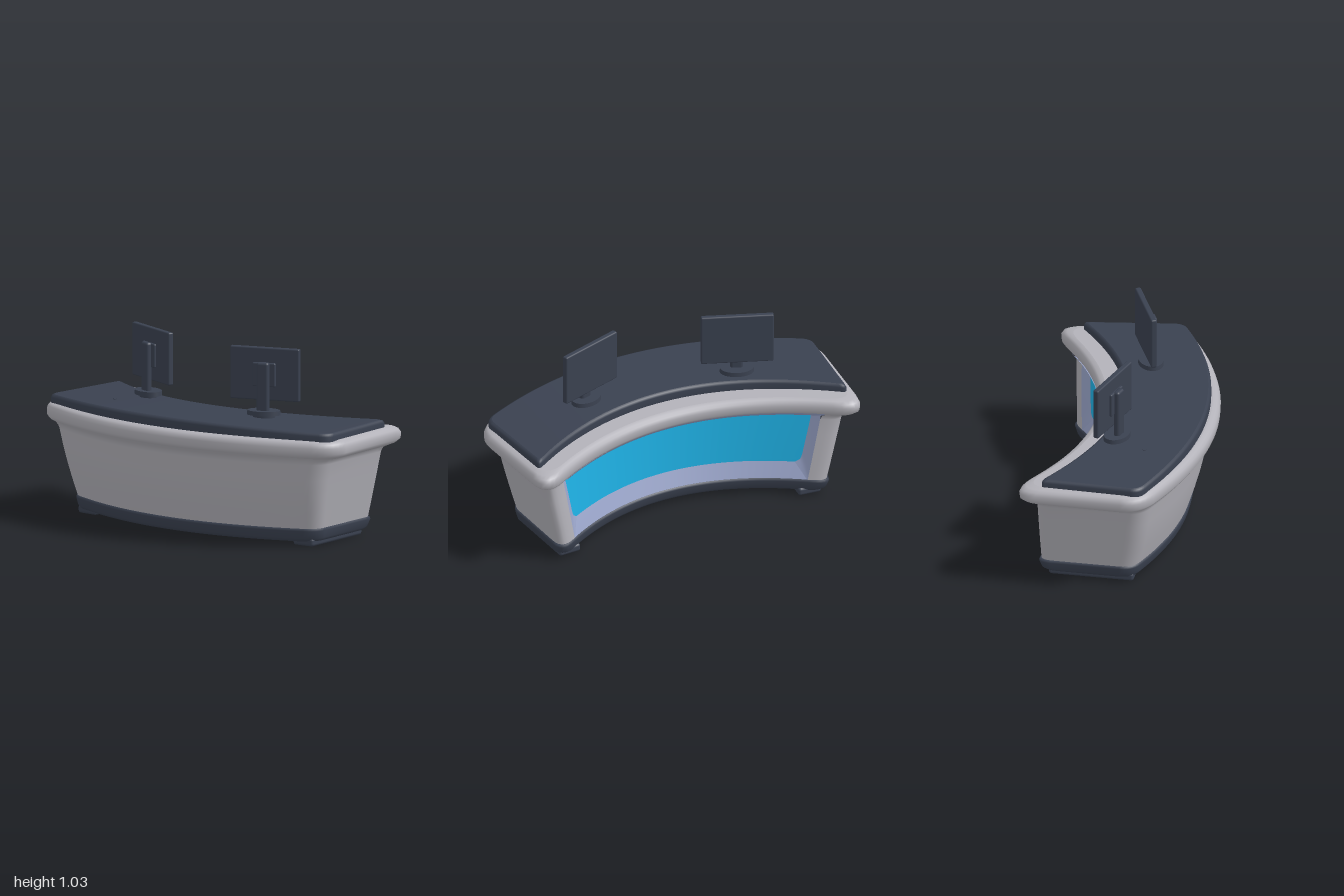
import * as THREE from 'three';
import { RoundedBoxGeometry } from 'three/addons/geometries/RoundedBoxGeometry.js';

const ARC = 32, ROUND = 7, HALF = ARC + 1 + 2 * ROUND;
const lerp = THREE.MathUtils.lerp;

// Curved plan outline. o, i: outer and inner x at z = 0; ok, ik: curvature;
// zo, zi: z of the outer and inner corners; ro, ri: corner radii; d: inset.
function outline(p, y, d = 0, dome = 0) {
  const xo = z => p.o + d + p.ok * z * z, xi = z => p.i - d + p.ik * z * z;
  const zo = p.zo - d, zi = p.zi - d;
  const A = new THREE.Vector2(xo(zo), zo), B = new THREE.Vector2(xi(zi), zi);
  const dir = B.clone().sub(A).normalize();
  const bend = (from, c, to) => new THREE.QuadraticBezierCurve(from, c, to).getPoints(ROUND);
  const zA = zo - p.ro, zB = zi - p.ri;
  const outer = bend(new THREE.Vector2(xo(zA), zA), A, A.clone().addScaledVector(dir, p.ro)).slice(1);
  const inner = bend(B.clone().addScaledVector(dir, -p.ri), B, new THREE.Vector2(xi(zB), zB)).slice(0, -1);
  const flip = list => list.map(v => new THREE.Vector2(v.x, -v.y)).reverse();
  const arc = (f, z) => Array.from({ length: ARC + 1 }, (_, k) => {
    const s = z * (2 * k / ARC - 1);
    return new THREE.Vector2(f(s), s);
  });
  return [...flip(outer), ...arc(xo, zA), ...outer, ...inner, ...arc(xi, zB).reverse(), ...flip(inner)]
    .map(v => [v.x, y - dome * v.y * v.y, v.y]);
}

function build(points, index) {
  const g = new THREE.BufferGeometry();
  g.setAttribute('position', new THREE.Float32BufferAttribute(points.flat(), 3));
  g.setIndex(index);
  g.computeVertexNormals();
  return g;
}

// Walls through a stack of outlines, optionally leaving the inner arc open
function walls(rings, openInner = false) {
  const n = HALF * 2, index = [];
  for (let r = 0; r < rings.length - 1; r++) for (let k = 0; k < n; k++) {
    if (openInner && k >= HALF + ROUND && k < HALF + ROUND + ARC) continue;
    const a = r * n + k, b = r * n + (k + 1) % n;
    index.push(a, b, b + n, a, b + n, a + n);
  }
  return build(rings.flat(), index);
}

// Flat lid joining the outer and inner halves of one outline
function lid(ring, up) {
  const index = [], n = HALF * 2;
  for (let k = 0; k < HALF - 1; k++) {
    const a = k, b = k + 1, c = n - 2 - k, e = n - 1 - k;
    index.push(...(up ? [a, b, c, a, c, e] : [a, c, b, a, e, c]));
  }
  return build(ring, index);
}

// Grid surface from f(u, v), with u and v in 0..1
function sheet(f, nu, nv) {
  const points = [], index = [];
  for (let v = 0; v <= nv; v++) for (let u = 0; u <= nu; u++) points.push(f(u / nu, v / nv));
  for (let v = 0; v < nv; v++) for (let u = 0; u < nu; u++) {
    const a = v * (nu + 1) + u, b = a + 1, c = b + nu + 1, d = a + nu + 1;
    index.push(a, b, c, a, c, d);
  }
  return build(points, index);
}

export function createModel() {
  const model = new THREE.Group();
  model.name = 'receptionDesk';
  const material = (name, color, side = THREE.FrontSide) => {
    const m = new THREE.MeshStandardMaterial({ color, side });
    m.name = name;
    return m;
  };
  const grey = material('shell grey', 0xb3b2b9);
  const dark = material('dark slate', 0x3a4150);
  const lavender = material('lavender trim', 0x9aa5ca, THREE.DoubleSide);
  const blue = material('bright blue', 0x1fb2e6, THREE.DoubleSide);

  const add = (parent, name, geometry, mat, x = 0, y = 0, z = 0) => {
    const mesh = new THREE.Mesh(geometry, mat);
    mesh.name = name;
    mesh.position.set(x, y, z);
    parent.add(mesh);
    return mesh;
  };
  // Closed curved slab with a [height, inset] edge profile
  const slab = (name, plan, profile, mat, dome = 0) => {
    const rings = profile.map(([y, d]) => outline(plan, y, d, dome));
    const group = new THREE.Group();
    group.name = name;
    add(group, name + 'Edge', walls(rings), mat);
    add(group, name + 'Top', lid(rings.at(-1), true), mat);
    add(group, name + 'Bottom', lid(rings[0], false), mat);
    model.add(group);
  };

  // Body plan tapers from top to bottom, with a slight outward belly
  const low = { o: -0.33, ok: 0.3, i: 0.1, ik: 0.5, zo: 0.835, zi: 0.8, ro: 0.07, ri: 0.11 };
  const high = { o: -0.43, ok: 0.29, i: 0.09, ik: 0.435, zo: 0.93, zi: 0.895, ro: 0.08, ri: 0.125 };
  const Y0 = 0.095, Y1 = 0.51;
  const plan = y => {
    const t = (y - Y0) / (Y1 - Y0), p = {};
    for (const key in low) p[key] = lerp(low[key], high[key], t);
    p.o -= 0.012 * Math.sin(Math.PI * t);
    return p;
  };
  const levels = [[0.095, 0], [0.19, 0], [0.28, 0], [0.37, 0], [0.46, 0], [0.48, -0.004], [0.495, -0.015], [0.51, -0.03]];
  add(model, 'bodyShell', walls(levels.map(([y, d]) => outline(plan(y), y, d)), true), grey);

  // Recessed front panel with rounded corners and the sloping frame around it
  const wall = (z, y, depth) => {
    const p = plan(y);
    return [p.i + p.ik * z * z - depth, y, z];
  };
  const outerEdge = (u, v) => {
    const y = lerp(Y0, Y1, v), p = plan(y);
    return wall((p.zi - p.ri) * (1 - 2 * u), y, 0);
  };
  const panelEdge = (u, v) => {
    const half = lerp(0.672, 0.737, v) - 0.025 * Math.abs(2 * v - 1) ** 14;
    return wall(half * (1 - 2 * u), lerp(0.187, 0.495, v), 0.03);
  };
  const mix = (a, b, t) => a.map((n, k) => lerp(n, b[k], t));
  const band = at => (u, v) => mix(outerEdge(...at(u)), panelEdge(...at(u)), v);
  add(model, 'frontPanel', sheet(panelEdge, 32, 20), blue);
  add(model, 'frameSill', sheet(band(u => [u, 0]), 32, 2), lavender);
  add(model, 'frameHead', sheet(band(u => [1 - u, 1]), 32, 2), lavender);
  add(model, 'frameSideLeft', sheet(band(u => [0, 1 - u]), 20, 2), lavender);
  add(model, 'frameSideRight', sheet(band(u => [1, u]), 20, 2), lavender);

  // Plinth and feet
  slab('plinth', low, [[0.025, 0.028], [0.03, 0.014], [0.045, 0.002], [0.085, -0.007], [0.098, -0.004], [0.1, 0.01]], dark);
  for (const s of [-1, 1]) {
    const foot = add(model, 'foot', new RoundedBoxGeometry(0.46, 0.045, 0.13, 3, 0.015), dark, 0.1, 0.0225, s * 0.727);
    foot.rotation.y = s * 0.07;
  }

  // Bulging rim with a lavender lip under its inner edge, and the dark worktop
  const rim = { o: -0.48, ok: 0.29, i: 0.17, ik: 0.406, zo: 1.008, zi: 0.952, ro: 0.11, ri: 0.15 };
  slab('rim', rim,
    [[0.495, 0.06], [0.503, 0.036], [0.515, 0.015], [0.533, 0.002], [0.565, 0], [0.584, 0.007], [0.596, 0.02], [0.602, 0.042]], grey, 0.008);
  const lip = [[0.488, 0.085], [0.491, 0.055], [0.499, 0.032], [0.511, 0.012], [0.525, 0.002]];
  add(model, 'rimLip', sheet((u, v) => {
    const z = 0.76 * (1 - 2 * u), [y, d] = lip[Math.round(v * 4)];
    return [rim.i + rim.ik * z * z - d, y - 0.008 * z * z, z];
  }, 32, 4), lavender);
  slab('worktop', { o: -0.428, ok: 0.27, i: 0.032, ik: 0.4, zo: 0.965, zi: 0.915, ro: 0.05, ri: 0.03 },
    [[0.59, 0.004], [0.6, 0], [0.64, 0], [0.652, 0.005], [0.657, 0.016]], dark, 0.025);
  add(model, 'cableCap', new THREE.CylinderGeometry(0.01, 0.01, 0.006, 16), dark, -0.15, 0.65, -0.53);

  // Two monitors turned toward the middle of the inner curve
  for (const [x, z, turn] of [[0.035, -0.422, -0.36], [-0.04, 0.415, 0.35]]) {
    const monitor = new THREE.Group();
    monitor.name = 'monitor';
    monitor.position.set(x, 0, z);
    monitor.rotation.y = turn;
    add(monitor, 'screen', new RoundedBoxGeometry(0.032, 0.285, 0.39, 2, 0.008), dark, 0, 0.883, 0);
    add(monitor, 'mountPlate', new RoundedBoxGeometry(0.02, 0.13, 0.13, 2, 0.008), dark, -0.02, 0.88, 0);
    add(monitor, 'neck', new RoundedBoxGeometry(0.036, 0.28, 0.068, 3, 0.014), dark, -0.038, 0.81, 0);
    const foot = add(monitor, 'standFoot', new THREE.CylinderGeometry(0.09, 0.092, 0.024, 32), dark, -0.027, 0.678, 0);
    foot.scale.x = 0.72;
    const pad = add(monitor, 'standPad', new THREE.CylinderGeometry(0.06, 0.06, 0.03, 32), dark, -0.027, 0.655, 0);
    pad.scale.x = 0.72;
    model.add(monitor);
  }
  return model;
}
